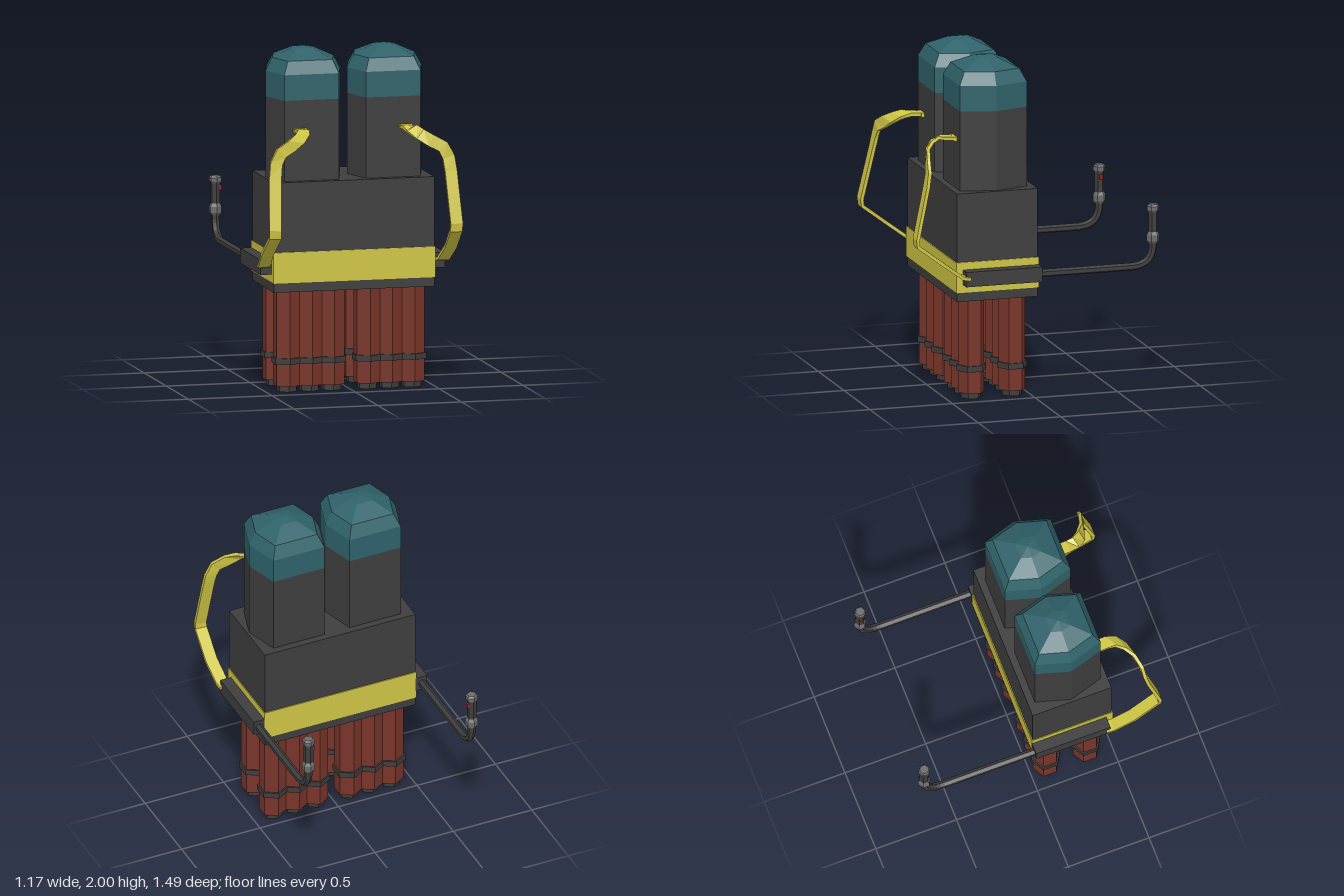
import * as THREE from 'three';

const mat = (color) => new THREE.MeshStandardMaterial({ color, flatShading: true });

// Skin closed rings of points (counterclockwise about the direction of travel), with end caps
function loft(rings) {
  const n = rings[0].length, pos = [], idx = [];
  rings.forEach((ring) => ring.forEach((p) => pos.push(p.x, p.y, p.z)));
  for (let r = 0; r < rings.length - 1; r++) {
    for (let i = 0; i < n; i++) {
      const j = (i + 1) % n, a = r * n, b = a + n;
      idx.push(a + i, a + j, b + j, a + i, b + j, b + i);
    }
  }
  const top = (rings.length - 1) * n;
  for (let i = 1; i < n - 1; i++) idx.push(0, i + 1, i, top, top + i, top + i + 1);
  const g = new THREE.BufferGeometry();
  g.setAttribute('position', new THREE.Float32BufferAttribute(pos, 3));
  g.setIndex(idx);
  const flat = g.toNonIndexed();
  flat.computeVertexNormals();
  return flat;
}

// Wide hexagonal tank section, levels are [y, scale]
const HEX = [[0.223, 0], [0.163, -0.203], [-0.163, -0.203], [-0.223, 0], [-0.163, 0.203], [0.163, 0.203]];
const tank = (levels) => loft(levels.map(([y, s]) => HEX.map(([x, z]) => new THREE.Vector3(x * s, y, z * s))));

// Flat ribbon along points [x, y, z, wx, wy, wz], w being the width direction
function ribbon(points, side, width, thick) {
  const P = points.map((p) => new THREE.Vector3(p[0] * side, p[1], p[2]));
  return loft(P.map((p, i) => {
    const t = P[Math.min(i + 1, P.length - 1)].clone().sub(P[Math.max(i - 1, 0)]).normalize();
    const u = new THREE.Vector3(points[i][3] * side, points[i][4], points[i][5]);
    u.addScaledVector(t, -u.dot(t)).normalize();
    const v = t.clone().cross(u);
    return [[1, 1], [-1, 1], [-1, -1], [1, -1]].map(([a, b]) =>
      p.clone().addScaledVector(u, a * width / 2).addScaledVector(v, b * thick / 2));
  }));
}

export function createModel() {
  const model = new THREE.Group();
  model.name = 'backpack';
  const dark = mat(0x3e3e3e), teal = mat(0x2f626a), red = mat(0x78352a);
  const yellow = mat(0xcfc545), grey = mat(0x6c6c6c), button = mat(0xb02020);

  const add = (name, geo, material, x = 0, y = 0, z = 0, parent = model) => {
    const m = new THREE.Mesh(geo, material);
    m.name = name;
    m.position.set(x, y, z);
    parent.add(m);
  };
  const box = (w, h, d) => new THREE.BoxGeometry(w, h, d);
  const hex = (r, h) => new THREE.CylinderGeometry(r, r, h, 6);
  const lathe = (pts) => new THREE.LatheGeometry(pts.map(([r, y]) => new THREE.Vector2(r, y)), 6);

  // Central case and its band
  add('case', box(0.96, 0.642, 0.488), dark, 0, 0.917, 0.222);
  add('band', box(0.97, 0.18, 0.5), yellow, 0, 0.74, 0.222);

  // Shoulder strap: out of the tank, twisting down the front and back to the mount
  const strapPath = [
    [0.315, 1.533, 0.41, 1, 0, 0],
    [0.315, 1.54, 0.5, 1, 0, 0],
    [0.325, 1.535, 0.55, 0.9, 0.35, -0.2],
    [0.362, 1.508, 0.595, 0.6, 0.7, -0.3],
    [0.42, 1.475, 0.625, 0.4, 0.9, 0],
    [0.485, 1.44, 0.645, 0.55, 0.8, 0],
    [0.515, 1.38, 0.65, 1, 0.25, 0],
    [0.525, 1.3, 0.665, 1, 0, 0],
    [0.542, 1.0, 0.732, 1, 0, 0],
    [0.54, 0.96, 0.728, 1, 0, 0],
    [0.548, 0.84, 0.57, 1, 0, 0],
    [0.535, 0.755, 0.455, 1, 0, 0],
    [0.53, 0.745, 0.41, 1, 0, 0],
  ];

  for (const s of [1, -1]) {
    const label = s > 0 ? 'left' : 'right';

    // Tank with domed cap
    add(label + 'Tank', tank([[1.2, 1], [1.71, 1]]), dark, s * 0.243, 0, 0.223);
    add(label + 'TankDome', tank([[1.71, 1], [1.86, 1], [1.935, 0.82], [1.988, 0.3], [2, 0.001]]),
      teal, s * 0.243, 0, 0.223);

    // Two rows of three hexagonal sticks below, each row tied with a band
    for (const [row, z] of [['Front', 0.348], ['Back', 0.1]]) {
      const bundle = new THREE.Group();
      bundle.name = label + row + 'Bundle';
      model.add(bundle);
      for (let i = -1; i <= 1; i++) {
        const x = s * 0.24 + i * 0.133;
        add('stick', hex(0.08, 0.575), red, x, 0.322, z, bundle);
        add('tie', hex(0.09, 0.035), dark, x, 0.182, z, bundle);
        add('stickEnd', hex(0.059, 0.045), dark, x, 0.0225, z, bundle);
      }
    }

    // Strap and its anchor on the tank
    add(label + 'Strap', ribbon(strapPath, s, 0.072, 0.02), yellow);
    add(label + 'StrapAnchor', box(0.08, 0.026, 0.02), yellow, s * 0.315, 1.533, 0.435);

    // Control arm: side mount, bent rod, grip
    const arm = new THREE.Group();
    arm.name = label + 'ControlArm';
    model.add(arm);
    add('mount', box(0.075, 0.088, 0.46), dark, s * 0.515, 0.742, 0.202, arm);
    const path = new THREE.CurvePath();
    const V = (y, z) => new THREE.Vector3(s * 0.52, y, z);
    path.add(new THREE.LineCurve3(V(0.742, 0), V(0.742, -0.57)));
    path.add(new THREE.QuadraticBezierCurve3(V(0.742, -0.57), V(0.742, -0.705), V(0.86, -0.708)));
    path.add(new THREE.LineCurve3(V(0.86, -0.708), V(0.9, -0.708)));
    add('rod', new THREE.TubeGeometry(path, 32, 0.023, 6), dark, 0, 0, 0, arm);
    add('collar', lathe([[0, 0.872], [0.025, 0.872], [0.038, 0.89], [0.038, 0.925], [0.027, 0.945], [0, 0.945]]),
      grey, s * 0.52, 0, -0.708, arm);
    add('grip', hex(0.028, 0.14), dark, s * 0.52, 1.005, -0.708, arm);
    add('gripCap', lathe([[0, 1.06], [0.028, 1.06], [0.037, 1.072], [0.037, 1.095], [0.028, 1.106], [0, 1.106]]),
      grey, s * 0.52, 0, -0.708, arm);
    add('button', box(0.014, 0.03, 0.02), button, s * 0.493, 1.035, -0.712, arm);
  }
  return model;
}
